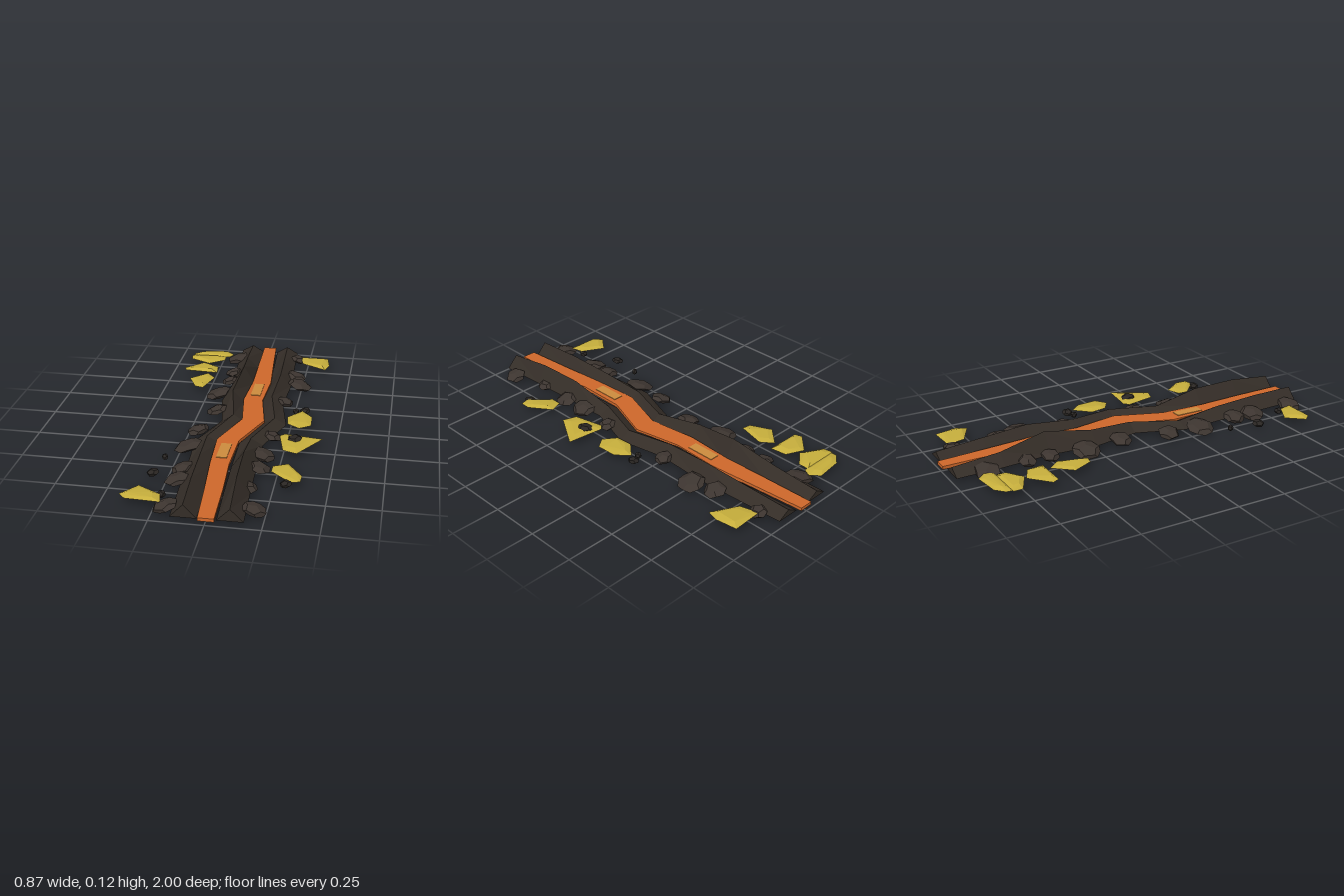
import * as THREE from 'three';
import { ConvexGeometry } from 'three/addons/geometries/ConvexGeometry.js';

// Closed solid from rings listed back to front, each counterclockwise seen from +z
function loft(rings) {
  const pos = [], n = rings[0].length;
  const tri = (...p) => p.forEach(v => pos.push(...v));
  for (let i = 0; i < rings.length - 1; i++) {
    for (let j = 0; j < n; j++) {
      const k = (j + 1) % n;
      const a = rings[i][j], b = rings[i][k], c = rings[i + 1][k], d = rings[i + 1][j];
      tri(a, b, c);
      tri(a, c, d);
    }
  }
  const back = rings[0], front = rings[rings.length - 1];
  for (let j = 1; j < n - 1; j++) {
    tri(back[0], back[j + 1], back[j]);
    tri(front[0], front[j], front[j + 1]);
  }
  const g = new THREE.BufferGeometry();
  g.setAttribute('position', new THREE.Float32BufferAttribute(pos, 3));
  g.computeVertexNormals();
  return g;
}

export function createModel() {
  const group = new THREE.Group();
  const mat = (name, color) => {
    const m = new THREE.MeshStandardMaterial({ color, flatShading: true });
    m.name = name;
    return m;
  };
  const ridgeMat = mat('dark basalt', 0x342d27);
  const rockMat = mat('brown rock', 0x3d3530);
  const pebbleMat = mat('black cinder', 0x2a2623);
  const lavaMat = mat('orange lava', 0xcf682b);
  const glowMat = mat('hot amber', 0xcc8c3e);
  const sulfurMat = mat('sulfur yellow', 0xc6ae3c);

  const add = (name, geo, material) => {
    const m = new THREE.Mesh(geo, material);
    m.name = name;
    group.add(m);
    return m;
  };
  let seed = 7;
  const rand = () => (seed = (seed * 16807) % 2147483647) / 2147483647;

  // Banks: triangular ridges following the bends of the channel
  const bank = (name, crestX, crestY) => add(name, loft(crestX.map((x, i) => {
    const z = -0.98 + i * 0.245;
    return [[x - 0.06, 0.025, z], [x + 0.06, 0.025, z], [x, crestY[i], z]];
  })), ridgeMat);
  bank('rightBank', [-0.095, -0.09, -0.07, -0.09, -0.045, -0.135, -0.12, -0.11, -0.097],
    [0.06, 0.08, 0.127, 0.09, 0.065, 0.055, 0.08, 0.09, 0.088]);
  bank('leftBank', [0.11, 0.122, 0.133, 0.12, 0.168, 0.085, 0.09, 0.098, 0.11],
    [0.06, 0.075, 0.09, 0.07, 0.06, 0.06, 0.11, 0.112, 0.085]);

  // Lava stream
  const edges = [[-0.03, 0.04], [-0.025, 0.06], [-0.018, 0.08], [-0.032, 0.07], [0, 0.115],
    [-0.085, 0.025], [-0.072, 0.02], [-0.05, 0.035], [-0.03, 0.044]];
  add('lavaStream', loft(edges.map(([l, r], i) => {
    const z = (i - 4) * (i % 8 ? 0.245 : 0.25);
    return [[l, 0.026, z], [r, 0.026, z], [r, 0.042, z], [l, 0.042, z]];
  })), lavaMat);

  // Hot patches floating on the stream
  for (const [x, z] of [[0.023, -0.375], [-0.028, 0.365]]) {
    add('hotPatch', new THREE.BoxGeometry(0.052, 0.006, 0.15), glowMat).position.set(x, 0.042, z);
  }

  // Boulders along the outer foot of each bank: x, z, radius
  const boulders = [
    [-0.16, -0.83, 0.065], [-0.15, -0.62, 0.045], [-0.15, -0.5, 0.045], [-0.18, -0.32, 0.07],
    [-0.15, -0.11, 0.055], [-0.2, 0.14, 0.055], [-0.215, 0.32, 0.07], [-0.19, 0.55, 0.055],
    [-0.195, 0.66, 0.063], [-0.195, 0.905, 0.06],
    [0.19, -0.87, 0.042], [0.205, -0.62, 0.055], [0.24, -0.5, 0.065], [0.19, -0.265, 0.042],
    [0.18, 0.15, 0.044], [0.158, 0.355, 0.062], [0.162, 0.487, 0.055], [0.14, 0.68, 0.046],
    [0.2, 0.875, 0.055],
  ];
  const stone = (name, x, y, z, r, h, tilt, material) => {
    const g = new THREE.DodecahedronGeometry(1, 0);
    g.rotateX(rand() * 3).rotateY(rand() * 6);
    g.scale(r * 1.05, h, r * 1.05).rotateZ(tilt);
    add(name, g, material).position.set(x, y, z);
  };
  for (const [x, z, r] of boulders) {
    stone('boulder', x, 0.033, z, r, 0.02, -Math.sign(x) * 0.27, rockMat);
  }

  // Loose cinders: x, y, z, radius
  const cinders = [[-0.3, 0.03, 0.45, 0.014], [-0.32, 0.03, 0.61, 0.03], [-0.235, 0.03, 0.805, 0.02],
    [0.305, 0.03, -0.175, 0.027], [0.26, 0.03, -0.16, 0.016], [0.29, 0.046, 0.19, 0.04],
    [0.305, 0.03, 0.62, 0.028]];
  for (const [x, y, z, r] of cinders) stone('cinder', x, y, z, r, 0.017, 0.2, pebbleMat);

  // Sulfur slabs: outlines as x, z pairs, thinned toward the rim
  const slabs = [
    [-0.42, -0.85, -0.37, -0.89, -0.23, -0.905, -0.19, -0.86, -0.21, -0.82, -0.42, -0.82],
    [-0.43, -0.82, -0.23, -0.825, -0.23, -0.77, -0.31, -0.71, -0.425, -0.77],
    [-0.435, -0.625, -0.34, -0.715, -0.25, -0.67, -0.24, -0.585, -0.42, -0.59],
    [-0.375, -0.48, -0.29, -0.57, -0.24, -0.51, -0.28, -0.365, -0.325, -0.375],
    [0.2, -0.885, 0.36, -0.89, 0.378, -0.78, 0.357, -0.72, 0.225, -0.79],
    [0.225, -0.07, 0.295, -0.15, 0.352, -0.085, 0.357, 0.02, 0.3, 0.06, 0.235, 0.015],
    [0.215, 0.155, 0.24, 0.13, 0.43, 0.155, 0.32, 0.335, 0.25, 0.31],
    [0.225, 0.475, 0.295, 0.445, 0.373, 0.555, 0.37, 0.61, 0.325, 0.622, 0.225, 0.53],
    [-0.42, 0.845, -0.35, 0.757, -0.235, 0.82, -0.22, 0.89, -0.385, 0.885],
  ];
  for (const s of slabs) {
    const n = s.length / 2, pts = [];
    let cx = 0, cz = 0;
    for (let i = 0; i < n; i++) {
      cx += s[2 * i] / n;
      cz += s[2 * i + 1] / n;
    }
    const point = (i, k, y) => pts.push(new THREE.Vector3(
      cx + (s[2 * i] - cx) * k, y, cz + (s[2 * i + 1] - cz) * k));
    for (let i = 0; i < n; i++) {
      point(i, 1, 0.037 + rand() * 0.004);
      point(i, 0.6, 0.045 + rand() * 0.007);
      point(i, 0.7, 0.03 + rand() * 0.003);
    }
    add('sulfurSlab', new ConvexGeometry(pts), sulfurMat);
  }
  return group;
}
